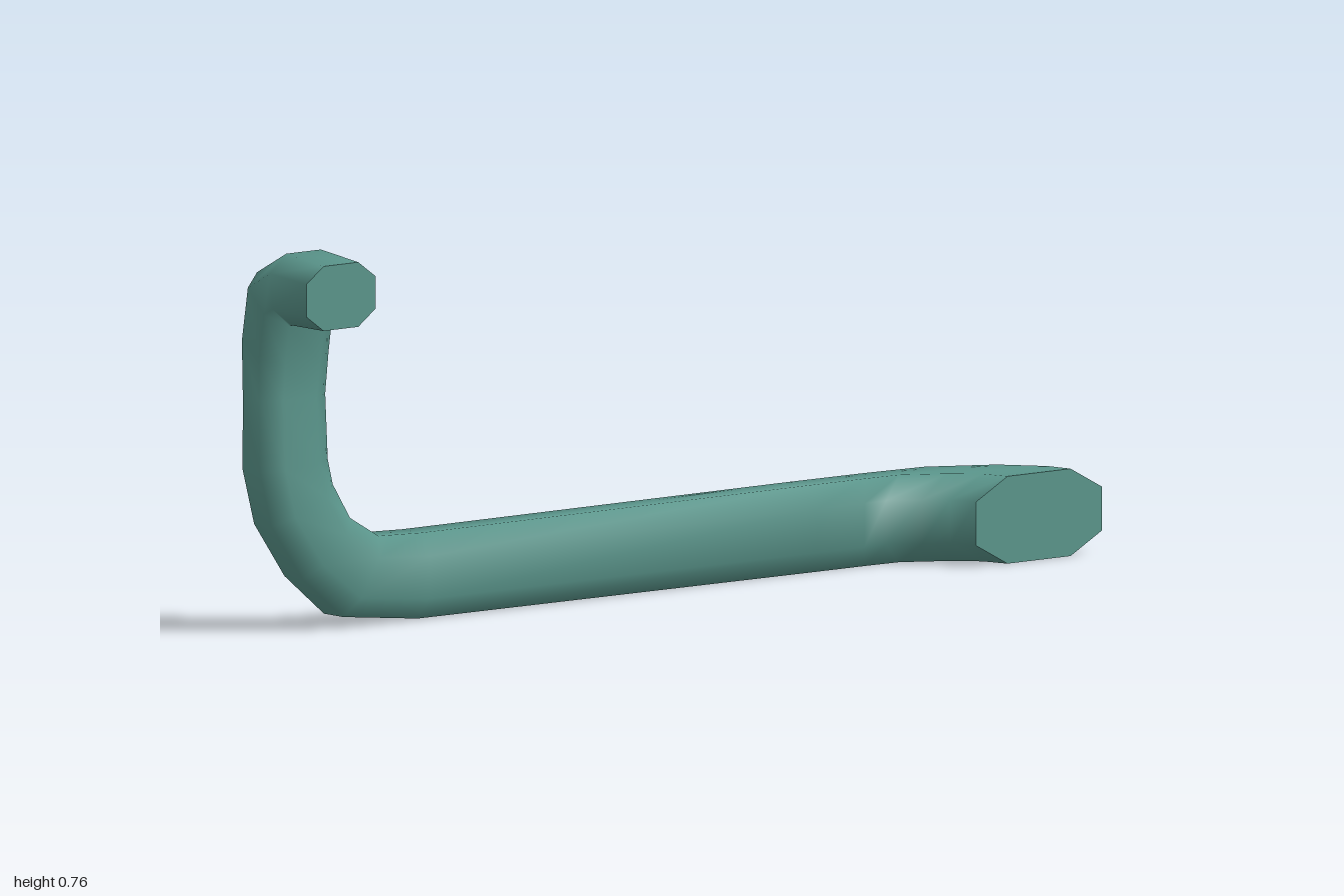
import * as THREE from 'three';

// Octagon in the plane of two half-axes u and v
const OCT = [[1, -0.5], [1, 0.5], [0.5, 1], [-0.5, 1], [-1, 0.5], [-1, -0.5], [-0.5, -1], [0.5, -1]];
const N = OCT.length;

// A section spans from an outer to an inner point of the bend; half is the other half-axis
function section(inner, outer, half, bendAlongU = false) {
  const a = new THREE.Vector3(...inner), b = new THREE.Vector3(...outer);
  const centre = a.clone().add(b).multiplyScalar(0.5);
  const across = a.clone().sub(b).multiplyScalar(0.5);
  const other = new THREE.Vector3(...half);
  const [u, v] = bendAlongU ? [across, other] : [other, across];
  return OCT.map(([s, t]) => centre.clone().addScaledVector(u, s).addScaledVector(v, t));
}

function meshFrom(points, index, name, material) {
  const geometry = new THREE.BufferGeometry().setFromPoints(points);
  geometry.setIndex(index);
  geometry.computeVertexNormals();
  const mesh = new THREE.Mesh(geometry, material);
  mesh.name = name;
  return mesh;
}

export function createModel() {
  const group = new THREE.Group();
  group.name = 'pullHandle';
  const material = new THREE.MeshStandardMaterial({ color: 0x5a958b });
  const rings = [];

  // Lower foot and its bend into the bar: inner x, z, outer x, z
  for (const [xi, zi, xo, zo] of [
    [0.68, 0.125, 1.0, 0.125], [0.66, 0.07, 0.99, 0.07], [0.615, 0.037, 0.92, -0.025],
    [0.555, 0, 0.77, -0.103], [0.5, 0, 0.6, -0.116], [0.38, 0, 0.38, -0.12],
  ]) rings.push(section([xi, 0.0885, zi], [xo, 0.0885, zo], [0, 0.0865, 0]));

  // Long bar, corner and upright: inner x, y, outer x, y, front z, back z
  for (const [xi, yi, xo, yo, zf, zb] of [
    [-0.6, 0.174, -0.61, 0.005, 0, -0.12], [-0.71, 0.178, -0.8, 0.026, 0, -0.118],
    [-0.78, 0.22, -0.9, 0.11, -0.004, -0.117], [-0.82, 0.29, -0.975, 0.22, -0.01, -0.118],
    [-0.828, 0.34, -1, 0.33, -0.016, -0.123], [-0.832, 0.47, -1, 0.47, -0.021, -0.12],
  ]) {
    const z = (zf + zb) / 2;
    rings.push(section([xi, yi, z], [xo, yo, z], [0, 0, (zf - zb) / 2], true));
  }

  // Bend at the top and upper foot: inner y, z, outer y, z
  for (const [yi, zi, yo, zo] of [
    [0.54, -0.018, 0.6, -0.125], [0.62, -0.005, 0.715, -0.105],
    [0.622, 0.0, 0.762, -0.015], [0.622, 0.1, 0.75, 0.1],
  ]) rings.push(section([-0.912, yi, zi], [-0.912, yo, zo], [0.088, 0, 0]));

  // Smooth octagonal skin through all sections
  const index = [];
  for (let i = 0; i < rings.length - 1; i++) {
    for (let j = 0; j < N; j++) {
      const k = (j + 1) % N;
      const a = i * N + j, b = i * N + k, c = b + N, d = a + N;
      index.push(a, d, c, a, c, b);
    }
  }
  group.add(meshFrom(rings.flat(), index, 'grip', material));

  // Flat mounting faces
  const fan = [], back = [];
  for (let j = 1; j < N - 1; j++) {
    fan.push(0, j, j + 1);
    back.push(0, j + 1, j);
  }
  group.add(meshFrom(rings[0], fan, 'lowerMountFace', material));
  group.add(meshFrom(rings[rings.length - 1], back, 'upperMountFace', material));
  return group;
}
